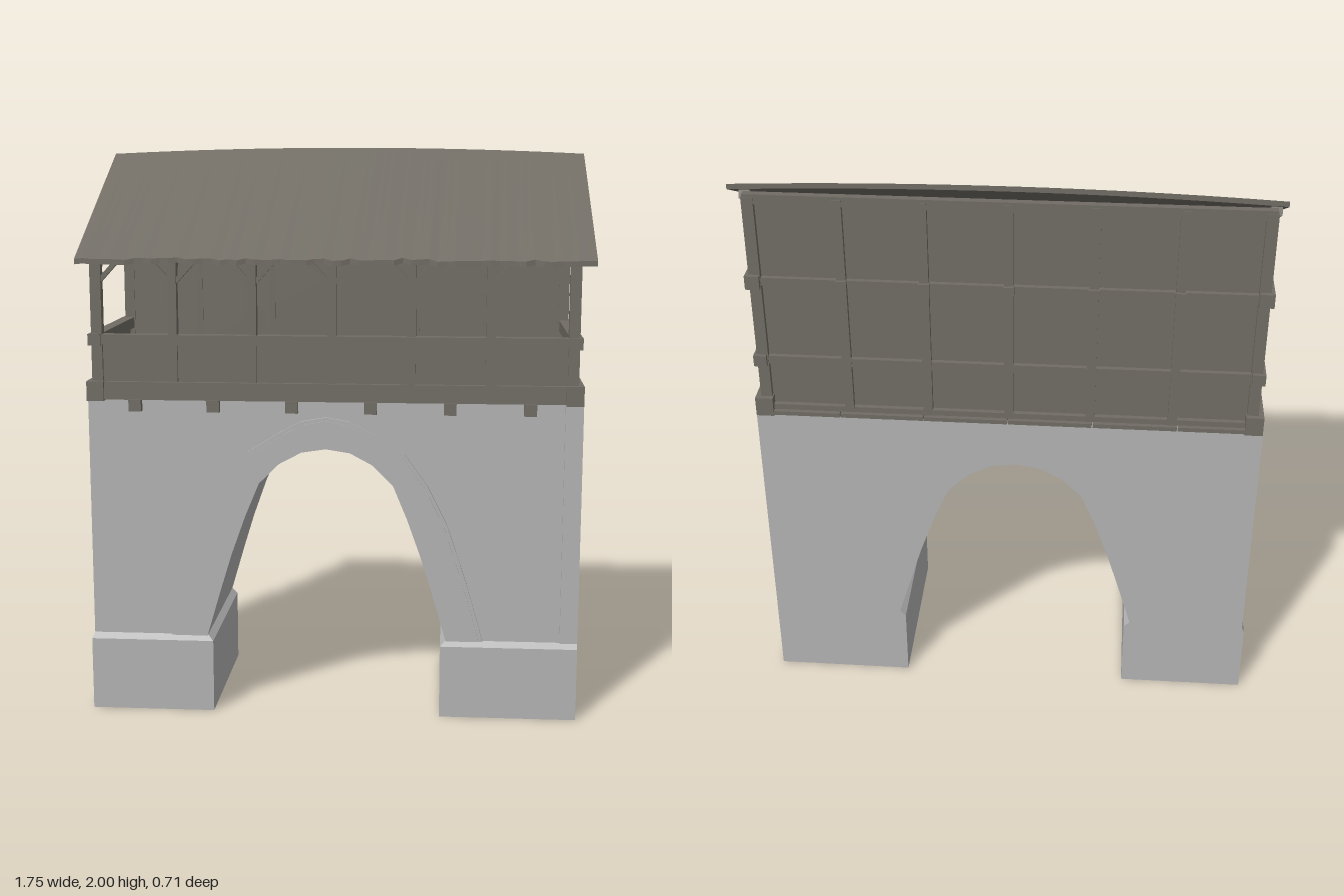
import * as THREE from 'three';

const stone = new THREE.MeshStandardMaterial({ color: 0xb4b4b4 });
stone.name = 'stone';
const wood = new THREE.MeshStandardMaterial({ color: 0x716d65 });
wood.name = 'weathered wood';

const CX = -0.035; // centre line of the arch

export function createModel() {
  const model = new THREE.Group();

  function add(name, geo, mat, parent = model) {
    const mesh = new THREE.Mesh(geo, mat);
    mesh.name = name;
    parent.add(mesh);
    return mesh;
  }
  function group(name) {
    const g = new THREE.Group();
    g.name = name;
    model.add(g);
    return g;
  }
  // box given by its limits on each axis
  function box(name, x0, x1, y0, y1, z0, z1, mat = wood, parent = model) {
    const m = add(name, new THREE.BoxGeometry(x1 - x0, y1 - y0, z1 - z0), mat, parent);
    m.position.set((x0 + x1) / 2, (y0 + y1) / 2, (z0 + z1) / 2);
    return m;
  }
  // square timber running between two points
  function strut(name, a, b, w, d, parent) {
    const p = new THREE.Vector3(...a), q = new THREE.Vector3(...b);
    const m = add(name, new THREE.BoxGeometry(w, d, p.distanceTo(q)), wood, parent);
    m.position.copy(p).add(q).multiplyScalar(0.5);
    m.lookAt(q);
    return m;
  }
  function extrude(points, depth) {
    const shape = new THREE.Shape(points.map(([x, y]) => new THREE.Vector2(x, y)));
    return new THREE.ExtrudeGeometry(shape, { depth, bevelEnabled: false });
  }

  // ---- stone gate ----
  const gate = group('stoneGate');
  const half = [[0.425, 0.28], [0.375, 0.45], [0.335, 0.58], [0.285, 0.72], [0.235, 0.84],
    [0.165, 0.91], [0.085, 0.953]];
  const halfOuter = [[0.555, 0.28], [0.495, 0.49], [0.425, 0.7], [0.355, 0.84], [0.275, 0.95],
    [0.165, 1.02], [0.085, 1.062]];
  const arc = (h, top) => [
    ...h.map(([x, y]) => [CX - x, y]), [CX, top], ...h.map(([x, y]) => [CX + x, y]).reverse()];
  const inner = arc(half, 0.966), outer = arc(halfOuter, 1.077);

  const wall = add('archWall', extrude([[-0.872, 0.28], ...inner, [0.85, 0.28], [0.85, 1.13], [-0.872, 1.13]], 0.59), stone, gate);
  wall.position.z = -0.35;
  const trim = add('archTrim', extrude([...outer, ...[...inner].reverse()], 0.012), stone, gate);
  trim.position.z = 0.239;
  const bead = outer.map(([x, y]) => [CX + (x - CX) * 0.975, 0.28 + (y - 0.28) * 0.985]);
  const ring = add('archTrimFace', extrude([...bead, ...[...inner].reverse()], 0.004), stone, gate);
  ring.position.z = 0.251;
  box('cornerStrip', 0.79, 0.852, 0.28, 1.13, -0.349, 0.25, stone, gate);

  // plinths with a sloped top edge
  function plinth(name, x0, x1, t0, t1) {
    box(name, x0, x1, 0, 0.26, -0.35, 0.255, stone, gate);
    const bevel = box(name + 'Bevel', x0, x1, 0.26, 0.28, -0.35, 0.255, stone, gate);
    const p = bevel.geometry.attributes.position;
    for (let i = 0; i < p.count; i++) {
      if (p.getY(i) < 0) continue;
      p.setX(i, (p.getX(i) < 0 ? t0 : t1) - bevel.position.x);
      if (p.getZ(i) > 0) p.setZ(i, 0.24 - bevel.position.z);
    }
    bevel.geometry = bevel.geometry.toNonIndexed();
    bevel.geometry.computeVertexNormals();
  }
  plinth('rightPlinth', -0.88, -0.44, -0.872, -0.46);
  plinth('leftPlinth', 0.37, 0.852, 0.39, 0.852);

  // ---- gallery floor ----
  const floor = group('galleryFloor');
  for (let i = 0; i < 6; i++) {
    const x = -0.87 + i * 0.2867;
    box('floorBoard', x, x + 0.284, 1.13, 1.145, -0.35, 0.24, wood, floor);
    const j = -0.702 + i * 0.2744;
    box('joist', j - 0.022, j + 0.022, 1.092, 1.135, 0.1, 0.265, wood, floor);
  }
  box('frontSill', -0.82, 0.8, 1.132, 1.195, 0.19, 0.255, wood, floor);
  box('backSill', -0.82, 0.8, 1.145, 1.165, -0.335, -0.3, wood, floor);

  // ---- posts, braces and cross beams ----
  const frame = group('galleryFrame');
  const posts = [-0.834, -0.567, -0.29, -0.015, 0.26, 0.53, 0.814];
  posts.forEach((x, i) => {
    const end = i === 0 || i === 6;
    const w = end ? 0.019 : 0.0155;
    box('frontPost', x - w, x + w, 1.145, 1.63, 0.214, 0.248, wood, frame);
    box('backPost', x - w, x + w, 1.145, 1.935, -0.337, -0.302, wood, frame);
    if (!end) box('crossBeam', x - 0.018, x + 0.018, 1.622, 1.652, -0.347, 0.23, wood, frame);
    for (const s of [-1, 1]) {
      if ((i === 0 && s < 0) || (i === 6 && s > 0)) continue;
      strut('frontBrace', [x + s * 0.012, 1.545, 0.231], [x + s * 0.085, 1.625, 0.231], 0.018, 0.016, frame);
    }
    strut('crossBrace', [x, 1.555, 0.22], [x, 1.63, 0.14], 0.018, 0.018, frame);
  });

  // long rails, panels and boarded back wall
  box('frontRail', -0.83, 0.81, 1.325, 1.36, 0.212, 0.253, wood, frame);
  box('frontTopBeam', -0.83, 0.81, 1.612, 1.653, 0.212, 0.25, wood, frame);
  box('frontPanel', -0.83, 0.81, 1.19, 1.33, 0.224, 0.236, wood, frame);
  box('backWall', -0.83, 0.81, 1.145, 1.935, -0.318, -0.306, wood, frame);
  for (const [y0, y1] of [[1.325, 1.355], [1.622, 1.65], [1.91, 1.945]])
    box('backRail', -0.85, 0.83, y0, y1, -0.334, -0.31, wood, frame);

  // ---- end walls ----
  for (const [name, x, s] of [['rightEnd', -0.841, -1], ['leftEnd', 0.821, 1]]) {
    const end = group(name);
    box('endSill', x - 0.03, x + 0.03, 1.128, 1.197, -0.354, 0.265, wood, end);
    box('endRail', x - 0.022, x + 0.022, 1.322, 1.362, -0.35, 0.261, wood, end);
    box('endTopBeam', x - 0.024, x + 0.024, 1.614, 1.662, -0.352, 0.266, wood, end);
    box('endPanel', x - 0.007, x + 0.007, 1.19, 1.33, -0.32, 0.23, wood, end);
    // gable triangle, profile in z and y turned to face sideways
    const gable = add('gablePanel', extrude([[-0.2, 1.655], [0.31, 1.655], [0.31, 1.93]], 0.012), wood, end);
    gable.rotation.y = Math.PI / 2;
    gable.position.x = x - 0.006;
    strut('gableRafter', [x + s * 0.005, 1.66, 0.215], [x + s * 0.005, 1.937, -0.31], 0.035, 0.032, end);
  }

  // ---- sagging lean-to roof with a ragged eave ----
  const roofGeo = new THREE.BoxGeometry(1.755, 0.018, 0.69, 60, 1, 1);
  const p = roofGeo.attributes.position;
  let seed = 7;
  const rand = () => (seed = (seed * 16807) % 2147483647) / 2147483647;
  const ragged = Array.from({ length: 61 }, () => rand());
  for (let i = 0; i < p.count; i++) {
    const x = p.getX(i), upper = p.getY(i) > 0;
    const col = Math.round((x / 1.755 + 0.5) * 60);
    const wave = 0.006 * Math.sin(x * 9) + 0.014 * ragged[col] ** 3;
    const front = p.getZ(i) > 0;
    const z = front ? 0.352 - Math.abs(wave) : -0.333;
    const crown = front ? 0.004 * ragged[col] : 0.022 * (1 - (x / 0.88) ** 2);
    const y = (front ? 1.624 + (0.352 - z) * 0.5 : 1.978) + crown;
    p.setXYZ(i, x - 0.0025, upper ? y : y - 0.018, z);
  }
  const roofFlat = roofGeo.toNonIndexed();
  roofFlat.computeVertexNormals();
  add('roof', roofFlat, wood);

  return model;
}
